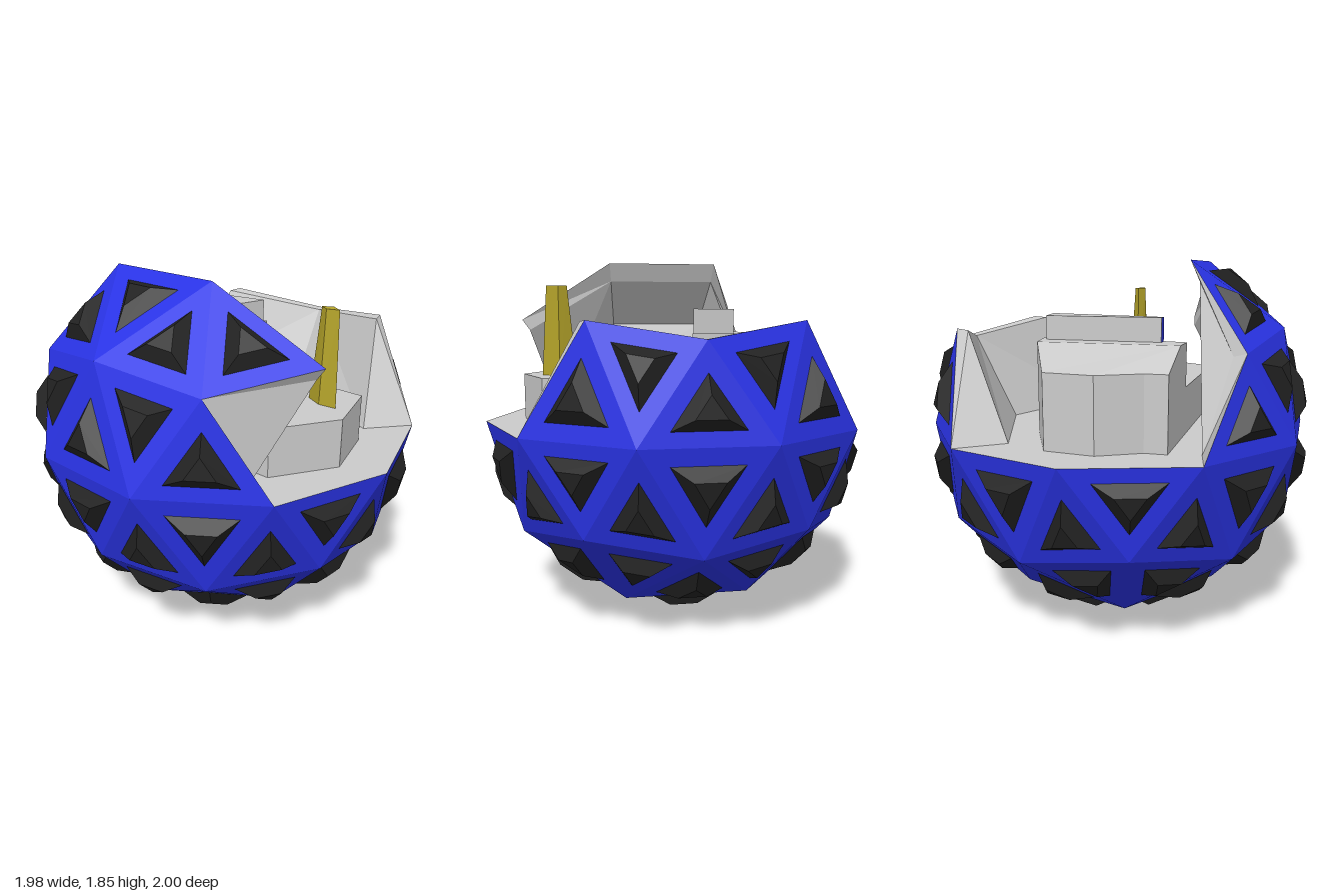
import * as THREE from 'three';

const mat = (color, side = THREE.FrontSide) =>
  new THREE.MeshStandardMaterial({ color, flatShading: true, side });
const BLUE = mat(0x2a33e6), BLACK = mat(0x222222), GOLD = mat(0xb5a42a);
const GREY = mat(0xcccccc, THREE.DoubleSide);
const CENTRE = new THREE.Vector3(0, 1, 0);
const v = (x, y, z) => new THREE.Vector3(x, y, z);

// Point on a ring: azimuth in degrees from +z towards +x
const ring = (r, y) => (a) => {
  const t = THREE.MathUtils.degToRad(a);
  return v(r * Math.sin(t), y, r * Math.cos(t));
};
const bottomRing = ring(0.526, 0.149), lowMid = ring(0.851, 0.474), low = ring(0.894, 0.553);
const equator = ring(0.999, 1);
const high = ring(0.894, 1.447), highMid = ring(0.851, 1.526), topRing = ring(0.526, 1.851);

// Mesh from convex polygons, each split as a fan
function polyMesh(name, polys, material) {
  const pos = [];
  for (const p of polys)
    for (let i = 1; i < p.length - 1; i++)
      for (const q of [p[0], p[i], p[i + 1]]) pos.push(q.x, q.y, q.z);
  const g = new THREE.BufferGeometry();
  g.setAttribute('position', new THREE.Float32BufferAttribute(pos, 3));
  g.computeVertexNormals();
  const m = new THREE.Mesh(g, material);
  m.name = name;
  return m;
}

// Upright prism from [x, z, top] corners, with an optional shrunken top
function prism(name, corners, base, material) {
  const bottom = corners.map(([x, z]) => v(x, base, z));
  const top = corners.map(([x, z, y, tx = x, tz = z]) => v(tx, y, tz));
  const sides = bottom.map((b, i) => {
    const j = (i + 1) % bottom.length;
    return [b, bottom[j], top[j], top[i]];
  });
  return polyMesh(name, [top, ...sides, [...bottom].reverse()], material);
}

// Turn a triangle so that it faces away from the centre
function outward([a, b, c]) {
  const n = b.clone().sub(a).cross(c.clone().sub(a));
  return n.dot(a.clone().sub(CENTRE)) > 0 ? [a, b, c] : [a, c, b];
}

function shellFaces() {
  const faces = [], pole = v(0, 0, 0);
  // Full lower half, five equal sectors
  for (let k = 0; k < 5; k++) {
    const a = -18 + 72 * k, m = lowMid(a + 36);
    const b0 = bottomRing(a), b1 = bottomRing(a + 72), l0 = low(a), l1 = low(a + 72);
    const e0 = equator(a - 18), e1 = equator(a + 18), e2 = equator(a + 54);
    faces.push([pole, b0, b1], [b0, l0, m], [b0, m, b1], [b1, m, l1],
      [l0, e0, e1], [l0, e1, m], [m, e1, e2], [m, e2, l1]);
  }
  // Low wall on +x and tall wall on -x
  for (const s of [-1, 1]) {
    const p = (f, off) => f(90 + s * off), q = (f, off) => f(-90 + s * off);
    faces.push(
      [p(equator, 54), p(equator, 18), p(highMid, 36)],
      [p(equator, 18), p(highMid, 36), high(90)],
      [q(equator, 54), q(equator, 18), q(high, 36)],
      [q(equator, 18), q(high, 36), highMid(-90)],
      [q(high, 36), highMid(-90), q(topRing, 36)]);
  }
  faces.push([equator(72), equator(108), high(90)],
    [equator(-72), equator(-108), highMid(-90)],
    [highMid(-90), topRing(-54), topRing(-126)],
    [high(-54), highMid(-18), topRing(-54)]);
  return faces.map(outward);
}

// Truncated pyramid standing on a shell face
function studPolys([a, b, c]) {
  const mid = a.clone().add(b).add(c).divideScalar(3);
  const n = b.clone().sub(a).cross(c.clone().sub(a)).normalize();
  const at = (s, h) => [a, b, c].map((p) => mid.clone().lerp(p, s).addScaledVector(n, h));
  const foot = at(0.54, 0.001), cap = at(0.23, 0.055);
  return [cap, ...[0, 1, 2].map((i) => {
    const j = (i + 1) % 3;
    return [foot[i], foot[j], cap[j], cap[i]];
  })];
}

// Cut edges and inner faces of the low wall
function lowWallLining() {
  const polys = [], vi = v(0.84, 1.445, 0), foot = v(0.615, 1, 0);
  for (const s of [-1, 1]) {
    const m = highMid(90 + s * 36), mi = v(0.62, 1.52, -s * 0.52), base = v(0.375, 1, -s * 0.64);
    polys.push([equator(90 + s * 54), m, mi, base], [m, high(90), vi, mi], [base, mi, vi, foot]);
  }
  return polyMesh('lowWallLining', polys, GREY);
}

// Cut edges and inner faces of the tall wall
function tallWallLining() {
  const bf = v(-0.55, 1, 0.62), bb = v(-0.55, 1, -0.62);
  const tip = v(-0.27, 1.47, 0.77), vb = v(-0.66, 1.43, -0.5);
  const tf = v(-0.47, 1.75, 0.3), tb = v(-0.47, 1.75, -0.3);
  const nf = v(-0.7, 1.5, 0.27), nb = v(-0.7, 1.5, -0.27);
  return polyMesh('tallWallLining', [
    [equator(-36), high(-54), bf],
    [high(-54), highMid(-18), tip, bf],
    [highMid(-18), topRing(-54), tf, tip],
    [topRing(-54), topRing(-126), tb, tf],
    [topRing(-126), high(-126), vb, tb],
    [high(-126), equator(-144), bb, vb],
    [bf, tip, tf, nf], [tf, tb, nb, nf], [bf, nf, nb, bb], [bb, nb, tb, vb],
  ], GREY);
}

export function createModel() {
  const group = new THREE.Group();
  const faces = shellFaces();
  group.add(polyMesh('shell', faces, BLUE));
  group.add(polyMesh('studs', faces.flatMap(studPolys), BLACK));

  // Flat deck across the equator
  const rim = Array.from({ length: 10 }, (_, i) => equator(36 * i));
  group.add(polyMesh('deck', [rim], GREY));
  group.add(lowWallLining(), tallWallLining());

  // Inner structure: front platform, tower and sloped rear
  group.add(prism('frontPlatform', [[-0.4, -0.22, 1.24], [-0.4, 0.62, 1.24], [-0.09, 0.8, 1.24],
    [0.23, 0.7, 1.24], [0.23, 0.39, 1.24], [0.38, -0.03, 1.24]], 1, GREY));
  group.add(prism('tower', [[-0.4, -0.38, 1.46], [-0.4, -0.22, 1.46], [0.38, -0.03, 1.46],
    [0.36, -0.2, 1.46], [0.32, -0.38, 1.46]], 1, GREY));
  group.add(prism('towerRear', [[-0.4, -0.38, 1.46], [0.32, -0.38, 1.46], [0.16, -0.73, 1.36],
    [-0.09, -0.76, 1.36], [-0.29, -0.65, 1.36], [-0.4, -0.65, 1.36]], 1, GREY));

  // Wedge-shaped bar on the tower with a coloured end
  group.add(prism('roofBar', [[-0.28, -0.26, 1.58], [-0.28, -0.21, 1.58],
    [0.36, -0.04, 1.58], [0.32, -0.25, 1.58]], 1.46, GREY));
  group.add(polyMesh('roofBarEnd', [[v(-0.282, 1.46, -0.26), v(-0.282, 1.46, -0.21),
    v(-0.282, 1.58, -0.21), v(-0.282, 1.58, -0.26)]], BLUE));

  // Tapered mast
  group.add(prism('mast', [[0, 0.7, 1.7, 0.03, 0.67], [0.1, 0.61, 1.7, 0.07, 0.61],
    [0.035, 0.52, 1.7, 0.04, 0.565], [-0.01, 0.61, 1.7, 0.01, 0.61]], 1.24, GOLD));
  return group;
}
